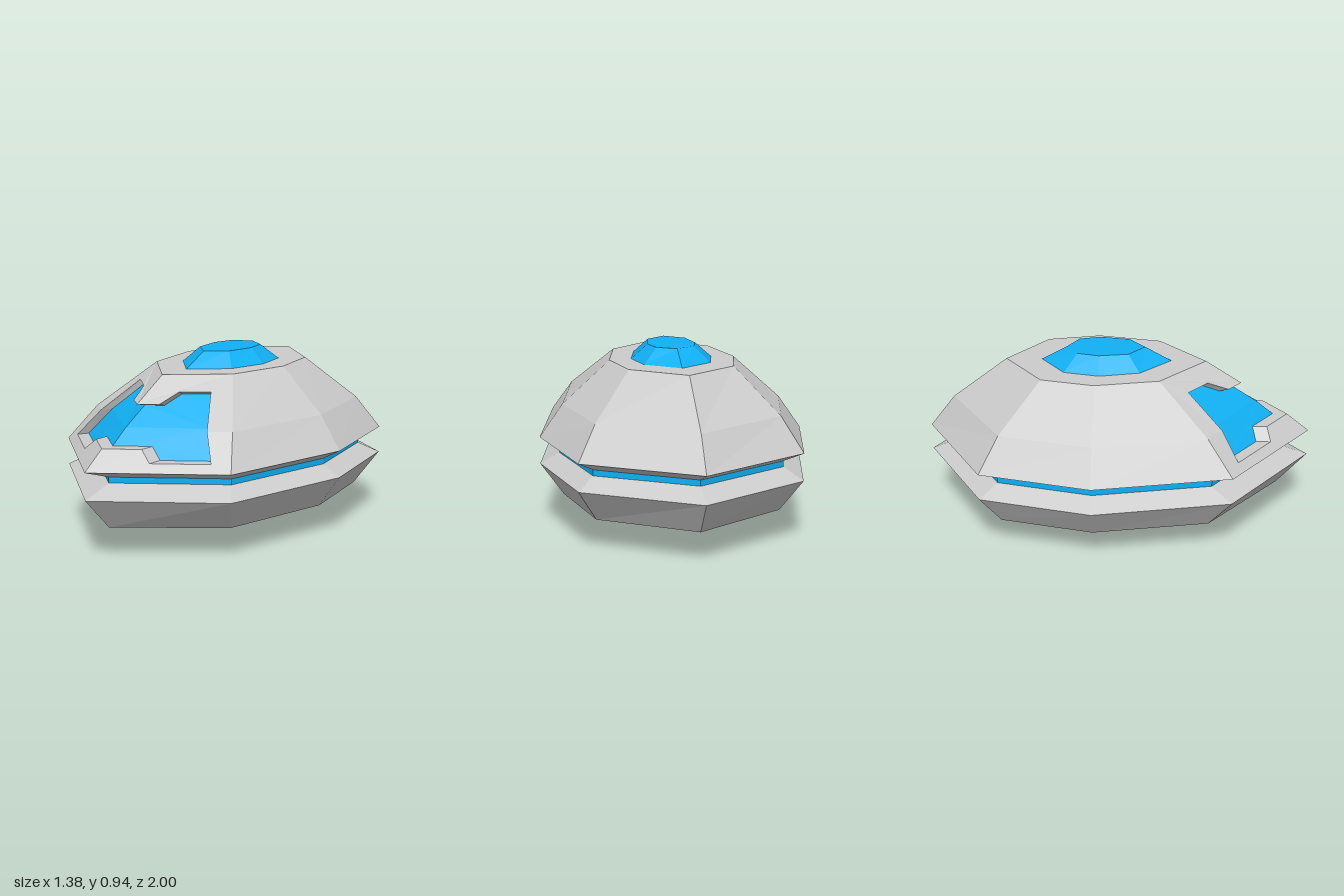
import * as THREE from 'three';

const grey = new THREE.MeshStandardMaterial({ color: 0xcccccc, flatShading: true, side: THREE.DoubleSide });
const blue = new THREE.MeshStandardMaterial({ color: 0x11b0f4, flatShading: true, side: THREE.DoubleSide });

// Eight-sided ring, mirrored in x: nose, front corner, side, rear corner, tail
function ring(y, nose, front, side, rear, tail) {
  const half = [front, side, rear];
  return [
    [0, y, nose], ...half.map(([x, z]) => [x, y, z]),
    [0, y, tail], ...half.reverse().map(([x, z]) => [-x, y, z]),
  ];
}

function fromTriangles(points) {
  const geo = new THREE.BufferGeometry();
  geo.setAttribute('position', new THREE.Float32BufferAttribute(points.flat(), 3));
  geo.computeVertexNormals();
  return geo;
}

// Skin rings listed from bottom to top; openNose leaves out the two nose faces
function loft(rings, { openNose = false, cap = false } = {}) {
  const tris = [];
  for (let r = 0; r < rings.length - 1; r++) {
    const a = rings[r], b = rings[r + 1];
    for (let i = 0; i < 8; i++) {
      if (openNose && (i === 0 || i === 7)) continue;
      const j = (i + 1) % 8;
      tris.push(a[i], a[j], b[j], a[i], b[j], b[i]);
    }
  }
  if (cap) {
    const t = rings[rings.length - 1];
    for (let i = 1; i < 7; i++) tris.push(t[0], t[i], t[i + 1]);
  }
  return fromTriangles(tris);
}

const rim = (y) => ring(y, 1, [0.555, 0.58], [0.69, -0.115], [0.555, -0.68], -1);
const groove = (y) => ring(y, 0.84, [0.475, 0.48], [0.59, -0.115], [0.475, -0.595], -0.865);
const shoulder = ring(0.64, 0.79, [0.46, 0.455], [0.57, -0.115], [0.46, -0.585], -0.87);
const roof = ring(0.86, 0.45, [0.26, 0.21], [0.325, -0.115], [0.265, -0.385], -0.585);

// Depth of the sloping nose surface at a given x and y
function noseZ(x, y) {
  const [lo, hi] = y <= 0.64 ? [rim(0.47), shoulder] : [shoulder, roof];
  const t = (y - lo[0][1]) / (hi[0][1] - lo[0][1]);
  const mix = (i, k) => THREE.MathUtils.lerp(lo[i][k], hi[i][k], t);
  return THREE.MathUtils.lerp(mix(0, 2), mix(1, 2), Math.abs(x) / mix(1, 0));
}

// Flat outline laid onto the nose surface, optionally sunk behind it
function nosePanel(outline, sign, depth = 0) {
  const shape = new THREE.Shape(outline.map(([x, y]) => new THREE.Vector2(x * sign, y)));
  const geo = new THREE.ShapeGeometry(shape);
  const p = geo.attributes.position;
  for (let i = 0; i < p.count; i++) p.setZ(i, noseZ(p.getX(i), p.getY(i)) - depth);
  geo.computeVertexNormals();
  return geo;
}

export function createModel() {
  const group = new THREE.Group();
  const add = (name, geo, mat) => {
    const mesh = new THREE.Mesh(geo, mat);
    mesh.name = name;
    group.add(mesh);
  };

  // Lower hull, tapering to a point
  const keel = ring(0, -0.115, [0, -0.115], [0, -0.115], [0, -0.115], -0.115);
  const chine = ring(0.16, 0.845, [0.46, 0.47], [0.57, -0.115], [0.46, -0.585], -0.87);
  add('lowerHull', loft([keel, chine, rim(0.33), groove(0.385)]), grey);

  // Glowing band in the groove
  add('waistBand', loft([groove(0.385), groove(0.415)]), blue);

  // Upper hull with the nose left open for the window frame
  add('upperHullUnderside', loft([groove(0.415), rim(0.47)]), grey);
  add('upperHull', loft([rim(0.47), shoulder, roof], { openNose: true, cap: true }), grey);

  // Roof dome
  add('roofDome', loft([
    ring(0.86, 0.27, [0.165, 0.11], [0.21, -0.095], [0.17, -0.275], -0.4),
    ring(0.935, 0.135, [0.1, 0.05], [0.125, -0.1], [0.097, -0.21], -0.265),
  ], { cap: true }), blue);

  // Window opening (half) at the surface, and its sunken edge at the glass
  const openLow = [[0.36, 0.64], [0.455, 0.51], [0.22, 0.51], [0.155, 0.565], [0, 0.565]];
  const openHigh = [[0, 0.74], [0.085, 0.74], [0.12, 0.79], [0.24, 0.79], [0.36, 0.64]];
  const glassLow = [[0.335, 0.64], [0.428, 0.51], [0.22, 0.51], [0.155, 0.565], [0, 0.565]];
  const glassHigh = [[0, 0.727], [0.078, 0.727], [0.108, 0.773], [0.226, 0.773], [0.335, 0.64]];
  const sink = 0.075;

  for (const [label, s] of [['left', 1], ['right', -1]]) {
    add(label + 'LowerFrame', nosePanel([[0, 0.47], [0.555, 0.47], [0.46, 0.64], ...openLow], s), grey);
    add(label + 'UpperFrame', nosePanel([[0.46, 0.64], [0.26, 0.86], [0, 0.86], ...openHigh], s), grey);
    add(label + 'LowerWindow', nosePanel([[0, 0.64], ...glassLow], s, sink), blue);
    add(label + 'UpperWindow', nosePanel([[0, 0.64], ...glassHigh], s, sink), blue);

    // Walls joining the opening to the glass
    const outer = [...openHigh, ...openLow.slice(1)].map(([x, y]) => [x * s, y, noseZ(x, y)]);
    const inner = [...glassHigh, ...glassLow.slice(1)].map(([x, y]) => [x * s, y, noseZ(x, y) - sink]);
    const tris = [];
    for (let i = 0; i < outer.length - 1; i++) {
      const [a, b, c, d] = [outer[i], outer[i + 1], inner[i + 1], inner[i]];
      if (s > 0) tris.push(a, b, c, a, c, d);
      else tris.push(a, c, b, a, d, c);
    }
    add(label + 'WindowReveal', fromTriangles(tris), grey);
  }
  return group;
}
